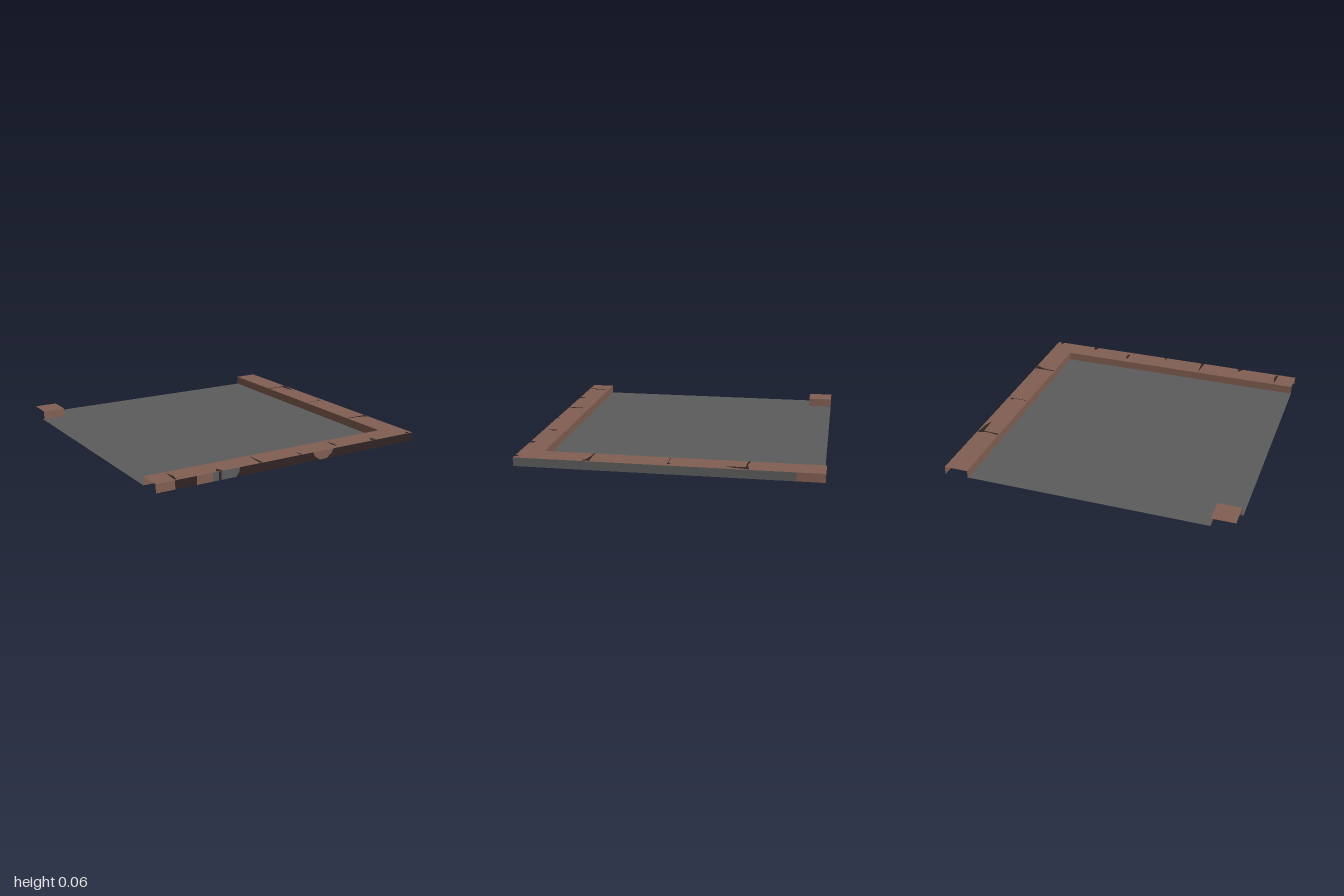
import * as THREE from 'three';

const H = 0.058; // rim height

export function createModel() {
  const model = new THREE.Group();
  const mat = (name, color) => {
    const m = new THREE.MeshStandardMaterial({ color, side: THREE.DoubleSide });
    m.name = name;
    return m;
  };
  const gray = mat('stone gray', 0x5c5c5c);
  const brown = mat('brick brown', 0x825f52);
  const dark = mat('dark mortar', 0x302322);

  const plate = (pts) => new THREE.ShapeGeometry(new THREE.Shape(pts.map((p) => new THREE.Vector2(...p))));
  const add = (name, geo, material, parent = model) => {
    const mesh = new THREE.Mesh(geo, material);
    mesh.name = name;
    parent.add(mesh);
  };
  // horizontal plate from [x, z] corners
  const flat = (name, pts, y, material, parent) =>
    add(name, plate(pts.map(([x, z]) => [x, -z])).rotateX(-Math.PI / 2).translate(0, y, 0), material, parent);
  // upright plate facing +z, from [x, y] corners
  const wallZ = (name, pts, z, material, parent) => add(name, plate(pts).translate(0, 0, z), material, parent);
  // upright plate facing +x, between two z values
  const wallX = (name, z0, z1, x, material, parent) =>
    add(name, plate([[-z1, 0], [-z0, 0], [-z0, H], [-z1, H]]).rotateY(Math.PI / 2).translate(x, 0, 0), material, parent);
  const span = (a, b) => [[a, 0], [b, 0], [b, H], [a, H]];

  // floor slab with a notch for the corner block
  flat('floor', [[-1, 0.83], [0.83, 0.83], [0.83, -0.99], [-0.83, -0.99], [-0.83, -0.82], [-1, -0.82]], 0, gray);

  // L-shaped hollow rim: top and inner walls
  const rim = new THREE.Group();
  rim.name = 'rim';
  model.add(rim);
  flat('rimTop', [[-1, 0.83], [0.83, 0.83], [0.83, -1], [0.995, -1], [0.995, 0.99], [-1, 0.99]], H, brown, rim);
  wallZ('frontInnerWall', span(-1, 0.83), 0.83, brown, rim);
  wallX('sideInnerWall', -1, 0.83, 0.83, brown, rim);

  // side outer wall, bare stone with a brick end
  wallX('sideOuterWall', -0.82, 0.99, 0.995, gray, rim);
  wallX('sideOuterEnd', -1, -0.82, 0.995, brown, rim);

  // front outer wall: regions between boundaries given as x at top, middle, bottom
  const straight = (x) => [x, x, x];
  const edges = [
    [straight(-1), brown], [straight(-0.87), dark], [straight(-0.72), brown],
    [straight(-0.61), gray], [straight(-0.565), dark], [straight(-0.55), gray],
    [[-0.415, -0.42, -0.44], dark], [[0.145, 0.16, 0.2], brown], [[0.31, 0.295, 0.255], dark],
    [straight(0.995), null],
  ];
  for (let i = 0; i < edges.length - 1; i++) {
    const ys = [H, H / 2, 0];
    const a = edges[i][0].map((x, k) => [x, ys[k]]);
    const b = edges[i + 1][0].map((x, k) => [x, ys[k]]).reverse();
    wallZ('frontOuterWall', [...a, ...b], 0.99, edges[i][1], rim);
  }

  // corner block: raised cap with two inner walls
  const corner = new THREE.Group();
  corner.name = 'cornerBlock';
  model.add(corner);
  flat('cornerTop', [[-0.99, -0.99], [-0.83, -0.99], [-0.83, -0.82], [-0.99, -0.82]], H, brown, corner);
  wallX('cornerSideWall', -0.99, -0.82, -0.83, brown, corner);
  wallZ('cornerFrontWall', span(-0.99, -0.83), -0.82, brown, corner);

  // mortar cracks along the front rim
  const cracks = new THREE.Group();
  cracks.name = 'cracks';
  model.add(cracks);
  const crack = (pts) => flat('crack', pts, H + 0.002, dark, cracks);
  for (const [x, w, z] of [[-0.56, 0.022, 0.94], [-0.255, 0.012, 0.84], [0.05, 0.008, 0.93], [0.655, 0.025, 0.94], [0.957, 0.015, 0.95]])
    crack([[x - w, 0.988], [x + w, 0.988], [x, z]]);
  crack([[-0.86, 0.85], [-0.845, 0.92], [-0.855, 0.98], [-0.87, 0.98], [-0.865, 0.92]]);
  crack([[0.353, 0.86], [0.37, 0.92], [0.355, 0.97], [0.348, 0.92]]);

  // mortar cracks across the side rim
  crack([[0.835, -0.525], [0.91, -0.513], [0.99, -0.53], [0.99, -0.505], [0.9, -0.505], [0.835, -0.51]]);
  crack([[0.95, -0.51], [0.985, -0.51], [0.975, -0.42], [0.957, -0.37]]);
  crack([[0.835, 0.485], [0.9, 0.49], [0.99, 0.487], [0.985, 0.54], [0.955, 0.515], [0.9, 0.502], [0.835, 0.497]]);
  crack([[0.835, -0.014], [0.94, -0.014], [0.957, -0.035], [0.975, -0.01], [0.835, -0.01]]);
  return model;
}
